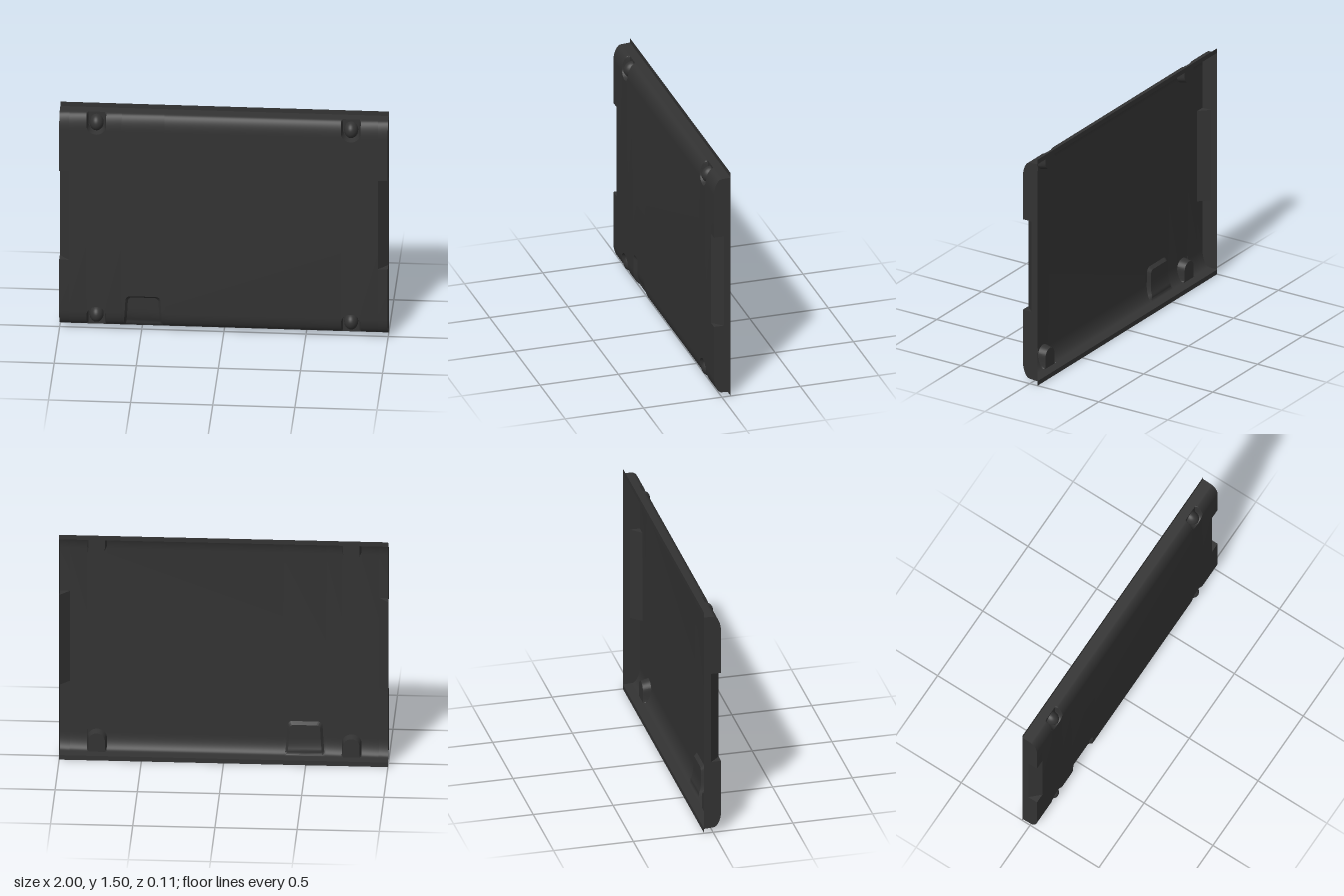
import * as THREE from 'three';
import { toCreasedNormals } from 'three/addons/utils/BufferGeometryUtils.js';

const H = 1.5, Y0 = 0.033, ARC = 0.107, BACK = -0.056, FRONT = 0.05;
const NOTCH = { x: 0.94, z: -0.012, y0: 0.48, y1: 1.08 };
const material = new THREE.MeshStandardMaterial({ color: 0x333333, side: THREE.DoubleSide });

// depth of the cover's front at height y: rounded long edges, flat middle
function frontZ(y) {
  const t = Math.max(0, Y0 + ARC - Math.min(y, H - y)) / ARC;
  return FRONT * Math.sqrt(Math.max(0, 1 - t * t));
}

// heights at which the rounded edges are sampled
const arcYs = Array.from({ length: 13 }, (_, i) => Y0 + ARC * (1 - Math.cos((i / 12) * Math.PI / 2)));
const allYs = [...arcYs, ...arcYs.map(y => H - y).reverse()];

// surface through rows of points
function surface(name, rows) {
  const pos = [], index = [], n = rows[0].length;
  rows.forEach(row => row.forEach(p => pos.push(...p)));
  for (let i = 0; i < rows.length - 1; i++) {
    for (let j = 0; j < n - 1; j++) {
      const a = i * n + j, d = a + n;
      index.push(a, a + 1, d + 1, a, d + 1, d);
    }
  }
  const geo = new THREE.BufferGeometry();
  geo.setAttribute('position', new THREE.Float32BufferAttribute(pos, 3));
  geo.setIndex(index);
  geo.computeVertexNormals();
  const mesh = new THREE.Mesh(toCreasedNormals(geo, 0.5), material);
  mesh.name = name;
  return mesh;
}

// mirror rows to the top edge, keeping them facing out
const toTop = rows => rows.map(r => r.map(([x, y, z]) => [x, H - y, z]).reverse());

// vertical strip of the front
function strip(x0, x1, ya, yb) {
  const ys = [ya, ...allYs.filter(y => y > ya + 1e-4 && y < yb - 1e-4), yb];
  return surface('frontPanel', ys.map(y => [[x0, y, frontZ(y)], [x1, y, frontZ(y)]]));
}

// arch outline open at the bottom: half width at foot and top, height, corner radius
function arch(foot, top, h, r) {
  const pts = [], legs = 14, arc = 8;
  for (let i = 0; i < legs; i++) {
    const t = i / legs;
    pts.push([foot + (top - foot) * t, Y0 + (h - r - Y0) * t * t]);
  }
  for (let i = 0; i <= arc; i++) {
    const a = (i / arc) * Math.PI / 2;
    pts.push([top - r + r * Math.cos(a), h - r + r * Math.sin(a)]);
  }
  return [...pts, ...pts.map(([x, y]) => [-x, y]).reverse()];
}

// rows of a recess: surrounding rectangle, rim, foot of the wall, floor
function recess(cx, half, height, rim, foot, floorZ) {
  const place = (pts, zAt) => pts.map(([x, y]) => [cx + x, y, zAt(y)]);
  return [
    place(arch(half, half, height, 0), frontZ),
    place(rim, frontZ),
    place(foot, floorZ),
    place(foot.map(([x, y]) => [0, y]), floorZ),
  ];
}

export function createModel() {
  const model = new THREE.Group();
  model.name = 'coverPlate';

  // front panel, leaving room for the recesses and the end notches
  const screwX = 0.775, screwW = 0.06, screwH = 0.165;
  const tabX = -0.49, tabW = 0.13, tabH = 0.25;
  const a = screwX - screwW, b = screwX + screwW;
  [
    [-b, -a, screwH, H - screwH], [a, b, screwH, H - screwH],
    [-NOTCH.x, -b, Y0, H - Y0], [b, NOTCH.x, Y0, H - Y0],
    [-a, tabX - tabW, Y0, H - Y0],
    [tabX - tabW, tabX + tabW, tabH, H - Y0],
    [tabX + tabW, a, Y0, H - Y0],
    [-1, -NOTCH.x, Y0, NOTCH.y0], [-1, -NOTCH.x, NOTCH.y1, H - Y0],
    [NOTCH.x, 1, Y0, NOTCH.y0], [NOTCH.x, 1, NOTCH.y1, H - Y0],
  ].forEach(s => model.add(strip(...s)));

  // long side walls with flat flanges
  const rail = [[0, BACK], [0.03, BACK], [Y0, 0]].map(([y, z]) => [[-1, y, z], [1, y, z]]);
  model.add(surface('bottomFlange', rail), surface('topFlange', toTop(rail)));

  // four U-shaped screw recesses, each with a domed head
  for (const x of [-screwX, screwX]) {
    const rows = recess(x, screwW, screwH,
      arch(0.06, 0.06, screwH, 0.06), arch(0.05, 0.05, 0.155, 0.05), () => 0);
    model.add(surface('screwRecess', rows), surface('screwRecess', toTop(rows)));
    for (const y of [0.1, H - 0.1]) {
      const dome = new THREE.Mesh(new THREE.SphereGeometry(1, 20, 16, 0, Math.PI), material);
      dome.scale.set(0.043, 0.053, 0.056);
      dome.position.set(x, y, 0);
      dome.name = 'screwDome';
      model.add(dome);
    }
  }

  // shallow thumb recess at the lower edge
  const tabFloor = y => frontZ(y) - 0.02 * Math.min(1, (y - Y0) / 0.03);
  model.add(surface('thumbRecess', recess(tabX, tabW, tabH,
    arch(0.125, 0.107, 0.245, 0.03), arch(0.11, 0.093, 0.228, 0.025), tabFloor)));

  // end walls with sloped notches
  for (const s of [-1, 1]) {
    const outline = [[0.03, BACK], ...arcYs.map(y => [y, frontZ(y)]),
      [NOTCH.y0, FRONT], [NOTCH.y0, NOTCH.z], [NOTCH.y1, NOTCH.z], [NOTCH.y1, FRONT],
      ...arcYs.map(y => [H - y, frontZ(y)]).reverse(), [H - 0.03, BACK]];
    const shape = new THREE.Shape(outline.map(([y, z]) => new THREE.Vector2(-s * z, y)));
    const wall = new THREE.Mesh(
      new THREE.ShapeGeometry(shape).rotateY(s * Math.PI / 2).translate(s, 0, 0), material);
    wall.name = 'endWall';
    model.add(wall);

    const section = [[s * NOTCH.x, FRONT], [s, NOTCH.z]];
    if (s < 0) section.reverse();
    model.add(surface('notchSlope',
      [NOTCH.y0, NOTCH.y1].map(y => section.map(([x, z]) => [x, y, z]))));
    for (const y of [NOTCH.y0, NOTCH.y1]) {
      const up = y === NOTCH.y0 ? 1 : -1;
      const pts = [[s * NOTCH.x, y, FRONT], [s, y, FRONT], [s, y, NOTCH.z]];
      if (s * up < 0) pts.reverse();
      const geo = new THREE.BufferGeometry();
      geo.setAttribute('position', new THREE.Float32BufferAttribute(pts.flat(), 3));
      geo.computeVertexNormals();
      const cheek = new THREE.Mesh(geo, material);
      cheek.name = 'notchCheek';
      model.add(cheek);
    }
  }
  return model;
}
